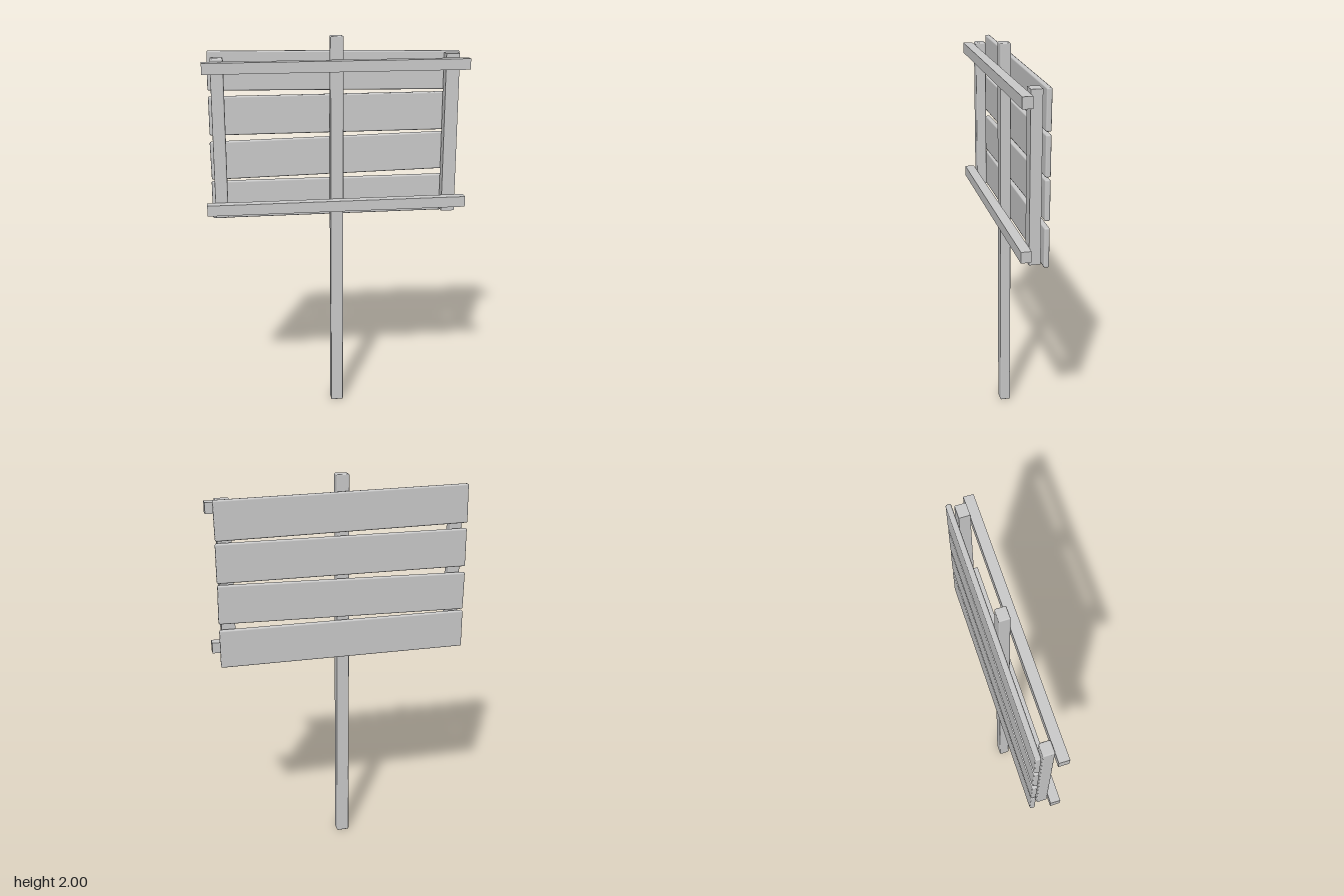
import * as THREE from 'three';
import { RoundedBoxGeometry } from 'three/addons/geometries/RoundedBoxGeometry.js';

const wood = new THREE.MeshStandardMaterial({ color: 0xcccccc });

// Beam given by its extents on each axis; softened edges when radius > 0
function beam(name, [x0, x1], [y0, y1], [z0, z1], radius = 0) {
  const size = [x1 - x0, y1 - y0, z1 - z0];
  const geometry = radius > 0
    ? new RoundedBoxGeometry(...size, 1, radius)
    : new THREE.BoxGeometry(...size);
  const mesh = new THREE.Mesh(geometry, wood);
  mesh.name = name;
  mesh.position.set((x0 + x1) / 2, (y0 + y1) / 2, (z0 + z1) / 2);
  return mesh;
}

export function createModel() {
  const sign = new THREE.Group();
  sign.name = 'woodenSign';

  // Post and the two upright battens share one depth layer
  const uprightZ = [-0.035, 0.02];
  sign.add(beam('post', [-0.033, 0.033], [0, 2], uprightZ, 0.006));
  sign.add(beam('rightBatten', [-0.628, -0.563], [1.085, 1.9], uprightZ, 0.008));
  sign.add(beam('leftBatten', [0.556, 0.625], [1.08, 1.905], uprightZ));

  // Square cross rails in front of the uprights
  sign.add(beam('upperRail', [-0.67, 0.67], [1.83, 1.885], [0.02, 0.07]));
  sign.add(beam('lowerRail', [-0.67, 0.67], [1.113, 1.168], [0.02, 0.07]));

  // Four planks behind, two of them nailed on slightly askew: [centre height, tilt]
  const planks = [[1.822, -0.0145], [1.603, 0], [1.383, 0.0185], [1.164, 0]];
  planks.forEach(([y, tilt], i) => {
    const plank = beam(`plank${i + 1}`, [-0.643, 0.64], [y - 0.099, y + 0.099], [-0.074, -0.047], 0.008);
    plank.rotation.z = tilt;
    sign.add(plank);
  });

  return sign;
}
